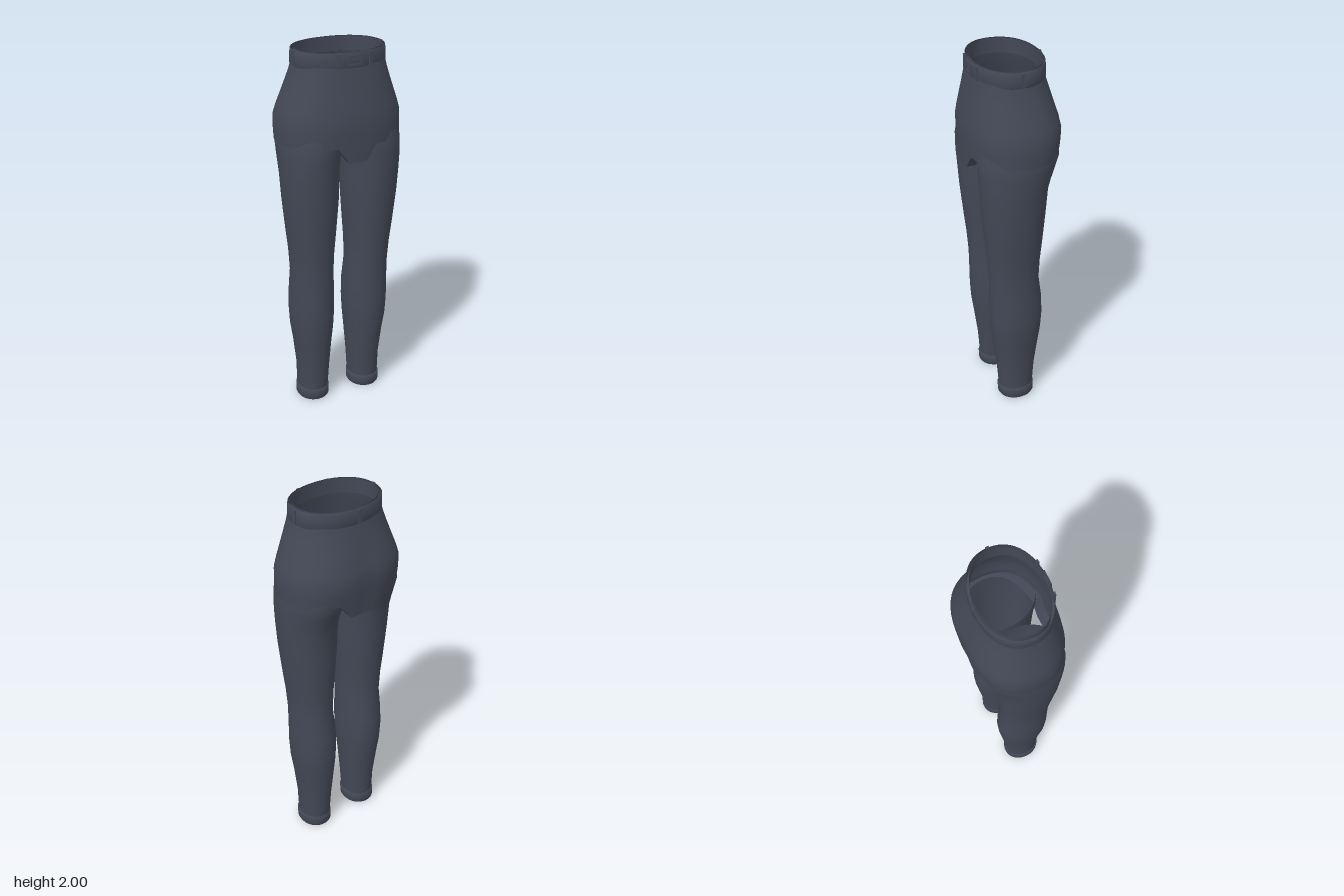
import * as THREE from 'three';
import { toCreasedNormals } from 'three/addons/utils/BufferGeometryUtils.js';

const SEG = 48;

// Loft through rings [y, xMin, xMax, zBack, zFront], each a superellipse of power n.
function loft(rings, n, adjust) {
  const pos = [], index = [];
  const bend = (v) => Math.sign(v) * Math.abs(v) ** (2 / n);
  rings.forEach(([y, x0, x1, z0, z1], i) => {
    for (let j = 0; j < SEG; j++) {
      const t = (j / SEG) * Math.PI * 2;
      const p = new THREE.Vector3(
        (x0 + x1) / 2 + ((x1 - x0) / 2) * bend(Math.cos(t)), y,
        (z0 + z1) / 2 + ((z1 - z0) / 2) * bend(Math.sin(t)));
      if (adjust) adjust(p, i);
      pos.push(p.x, p.y, p.z);
      if (i < rings.length - 1) {
        const a = i * SEG + j, b = i * SEG + ((j + 1) % SEG);
        index.push(a, a + SEG, b, b, a + SEG, b + SEG);
      }
    }
  });
  const g = new THREE.BufferGeometry();
  g.setAttribute('position', new THREE.Float32BufferAttribute(pos, 3));
  g.setIndex(index);
  return toCreasedNormals(g, 0.7);
}

export function createModel() {
  const model = new THREE.Group();
  model.name = 'trousers';
  const cloth = new THREE.MeshStandardMaterial({ color: 0x434856, side: THREE.DoubleSide });
  cloth.name = 'slate cloth';
  const add = (name, geometry, x = 0, y = 0, z = 0) => {
    const m = new THREE.Mesh(geometry, cloth);
    m.name = name;
    m.position.set(x, y, z);
    model.add(m);
    return m;
  };

  // Hips: open shell with a crotch tab hanging at front and back
  const hipRings = [
    [1.52, -0.315, 0.315, -0.17, 0.19],
    [1.52, -0.336, 0.336, -0.232, 0.243],
    [1.58, -0.337, 0.337, -0.242, 0.246],
    [1.65, -0.335, 0.335, -0.247, 0.246],
    [1.70, -0.320, 0.320, -0.236, 0.239],
    [1.76, -0.298, 0.298, -0.217, 0.229],
    [1.83, -0.273, 0.273, -0.195, 0.217],
    [1.89, -0.253, 0.253, -0.176, 0.207],
    [1.93, -0.244, 0.244, -0.168, 0.2],
  ];
  add('hips', loft(hipRings, 2.4, (p, i) => {
    const back = p.z < 0;
    if (i < 2 && Math.abs(p.x) < (back ? 0.125 : 0.08)) {
      p.y = 1.44;
      p.x *= 0.8;
    }
    // shallow hollow down the middle of the seat
    if (back && i > 0 && i < 6) p.z *= 1 - 0.045 * Math.exp(-((p.x / 0.06) ** 2));
  }));

  // Legs and turned-up cuffs: [y, inner x, outer x, back z, front z]
  const legRings = [
    [0.05, 0.078, 0.243, -0.084, 0.108],
    [0.20, 0.070, 0.246, -0.095, 0.120],
    [0.35, 0.059, 0.262, -0.114, 0.139],
    [0.45, 0.050, 0.277, -0.126, 0.153],
    [0.55, 0.045, 0.283, -0.132, 0.160],
    [0.65, 0.046, 0.282, -0.128, 0.161],
    [0.78, 0.054, 0.278, -0.110, 0.163],
    [0.90, 0.051, 0.286, -0.114, 0.172],
    [1.02, 0.042, 0.300, -0.124, 0.185],
    [1.20, 0.030, 0.319, -0.137, 0.203],
    [1.34, 0.028, 0.328, -0.146, 0.212],
    [1.40, 0.026, 0.331, -0.162, 0.217],
    [1.46, 0.018, 0.333, -0.183, 0.221],
    [1.52, 0.006, 0.333, -0.205, 0.222],
    [1.57, 0.006, 0.322, -0.205, 0.215],
  ];
  const cuffRings = [
    [0.060, 0.088, 0.234, -0.074, 0.099],
    [0.004, 0.088, 0.234, -0.074, 0.099],
    [0.000, 0.080, 0.243, -0.083, 0.105],
    [0.012, 0.073, 0.249, -0.090, 0.113],
    [0.060, 0.072, 0.250, -0.090, 0.116],
    [0.066, 0.076, 0.246, -0.087, 0.112],
    [0.066, 0.082, 0.240, -0.080, 0.105],
  ];
  for (const side of [1, -1]) {
    const place = (rings) => rings.map(([y, a, b, z0, z1]) =>
      side > 0 ? [y, a, b, z0, z1] : [y, -b, -a, z0, z1]);
    const label = side > 0 ? 'left' : 'right';
    add(label + 'Leg', loft(place(legRings), 2.08));
    add(label + 'Cuff', loft(place(cuffRings), 2.08));
  }

  // Waistband with a thick open rim
  add('waistband', loft([
    [1.92, -0.232, 0.232, -0.158, 0.187],
    [2.00, -0.232, 0.232, -0.158, 0.187],
    [2.00, -0.246, 0.246, -0.170, 0.199],
    [1.995, -0.250, 0.250, -0.173, 0.201],
    [1.925, -0.253, 0.253, -0.175, 0.203],
    [1.918, -0.250, 0.250, -0.172, 0.200],
    [1.918, -0.240, 0.240, -0.160, 0.190],
  ].map((r, i, all) => i < 2 ? all[1 - i] : all[8 - i]), 2.2));

  // Belt loops: [x, z, turn]
  const loops = [[0.09, 0.194, 0.15], [-0.09, 0.194, -0.15],
    [0.251, 0.014, Math.PI / 2], [-0.251, 0.014, Math.PI / 2], [0, -0.174, 0]];
  for (const [x, z, turn] of loops) {
    add('beltLoop', new THREE.BoxGeometry(0.018, 0.074, 0.012), x, 1.959, z).rotation.y = turn;
  }

  // Buckle: rectangular frame with a prong
  const frame = new THREE.Shape();
  frame.moveTo(-0.04, -0.027).lineTo(0.04, -0.027).lineTo(0.04, 0.027).lineTo(-0.04, 0.027);
  const hole = new THREE.Path();
  hole.moveTo(-0.03, -0.017).lineTo(-0.03, 0.017).lineTo(0.03, 0.017).lineTo(0.03, -0.017);
  frame.holes.push(hole);
  add('buckleFrame', new THREE.ExtrudeGeometry(frame, { depth: 0.008, bevelEnabled: false }), 0, 1.96, 0.199);
  add('buckleProng', new THREE.BoxGeometry(0.045, 0.007, 0.007), 0.01, 1.96, 0.203);

  return model;
}
